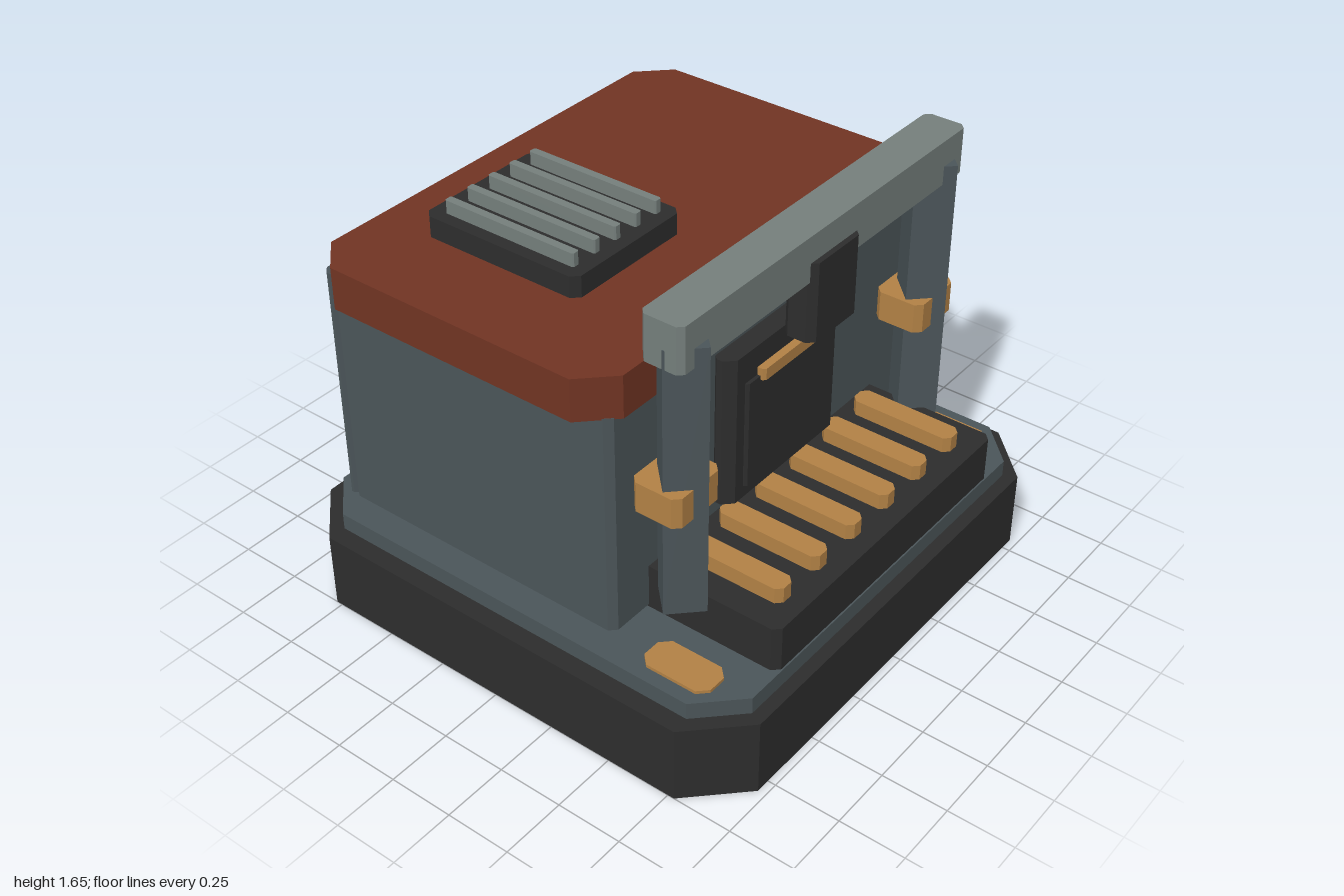
import * as THREE from 'three';

const mat = (name, color) => {
  const m = new THREE.MeshStandardMaterial({ color, flatShading: true });
  m.name = name;
  return m;
};

export function createModel() {
  const model = new THREE.Group();
  model.name = 'furnaceHouse';

  const charcoal = mat('charcoal', 0x2d2d2d);
  const steel = mat('steel', 0x4b5559);
  const paleSteel = mat('paleSteel', 0x757f7c);
  const rust = mat('rust', 0x713423);
  const brass = mat('brass', 0xb28145);

  // Block with chamfered vertical edges, given by its ranges on x, y and z
  function block(name, material, [x0, x1], [y0, y1], [z0, z1], c) {
    const w = (x1 - x0) / 2, d = (z1 - z0) / 2;
    const outline = new THREE.Shape([
      [w, c - d], [w, d - c], [w - c, d], [c - w, d],
      [-w, d - c], [-w, c - d], [c - w, -d], [w - c, -d],
    ].map(([x, y]) => new THREE.Vector2(x, y)));
    const geo = new THREE.ExtrudeGeometry(outline, { depth: y1 - y0, bevelEnabled: false });
    geo.rotateX(-Math.PI / 2);
    const mesh = new THREE.Mesh(geo, material);
    mesh.name = name;
    mesh.position.set((x0 + x1) / 2, y0, (z0 + z1) / 2);
    model.add(mesh);
    return mesh;
  }

  // Foundation
  block('base', charcoal, [-1, 1], [0, 0.3], [-0.97, 0.97], 0.195);
  block('floorPlate', steel, [-0.93, 0.93], [0.3, 0.365], [-0.92, 0.92], 0.15);

  // House body, taller back wall and roof
  block('body', steel, [-0.84, 0.84], [0.39, 1.25], [-0.8, 0.4], 0.025);
  block('backWall', steel, [-0.835, 0.835], [0.388, 1.31], [-0.842, -0.78], 0.025);
  block('roof', rust, [-0.907, 0.907], [1.245, 1.405], [-0.827, 0.42], 0.115);

  // Roof vent with slats
  block('ventBase', charcoal, [-0.595, -0.055], [1.43, 1.51], [-0.585, 0.07], 0.027);
  for (let i = 0; i < 5; i++) {
    const x = -0.532 + i * 0.104;
    block('ventSlat', paleSteel, [x - 0.015, x + 0.015], [1.505, 1.56], [-0.53, 0.02], 0.005);
  }

  // Front step with brass bars
  block('step', charcoal, [-0.655, 0.655], [0.38, 0.555], [0.17, 0.923], 0.025);
  for (let i = 0; i < 6; i++) {
    const x = -0.508 + i * 0.203;
    block('stepBar', brass, [x - 0.042, x + 0.042], [0.545, 0.615], [0.443, 0.853], 0.022);
  }

  // Door, raised panel and handle
  block('door', charcoal, [-0.318, 0.318], [0.62, 1.205], [0.38, 0.475], 0.035);
  block('doorPanel', charcoal, [-0.24, 0.24], [0.67, 1.09], [0.44, 0.488], 0.008);
  block('doorHandle', brass, [-0.173, 0.173], [1.075, 1.12], [0.45, 0.505], 0.01);

  // Crossbeam and its hanging block
  block('crossbeam', paleSteel, [-0.785, 0.785], [1.485, 1.655], [0.475, 0.635], 0.02);
  block('beamBlock', charcoal, [-0.134, 0.134], [1.258, 1.555], [0.535, 0.655], 0.025);

  // Diamond pillars, collars and floor pads on both sides
  for (const s of [-1, 1]) {
    const pillar = new THREE.Mesh(new THREE.CylinderGeometry(0.102, 0.102, 1.025, 4), steel);
    pillar.name = 'pillar';
    pillar.position.set(s * 0.688, 1.0425, 0.567);
    model.add(pillar);
    const x = s * 0.688, p = s * 0.807;
    block('pillarCollar', brass, [x - 0.115, x + 0.115], [0.915, 1.03], [0.445, 0.635], 0.025);
    block('floorPad', brass, [p - 0.07, p + 0.07], [0.36, 0.377], [0.53, 0.8], 0.035);
  }

  return model;
}
